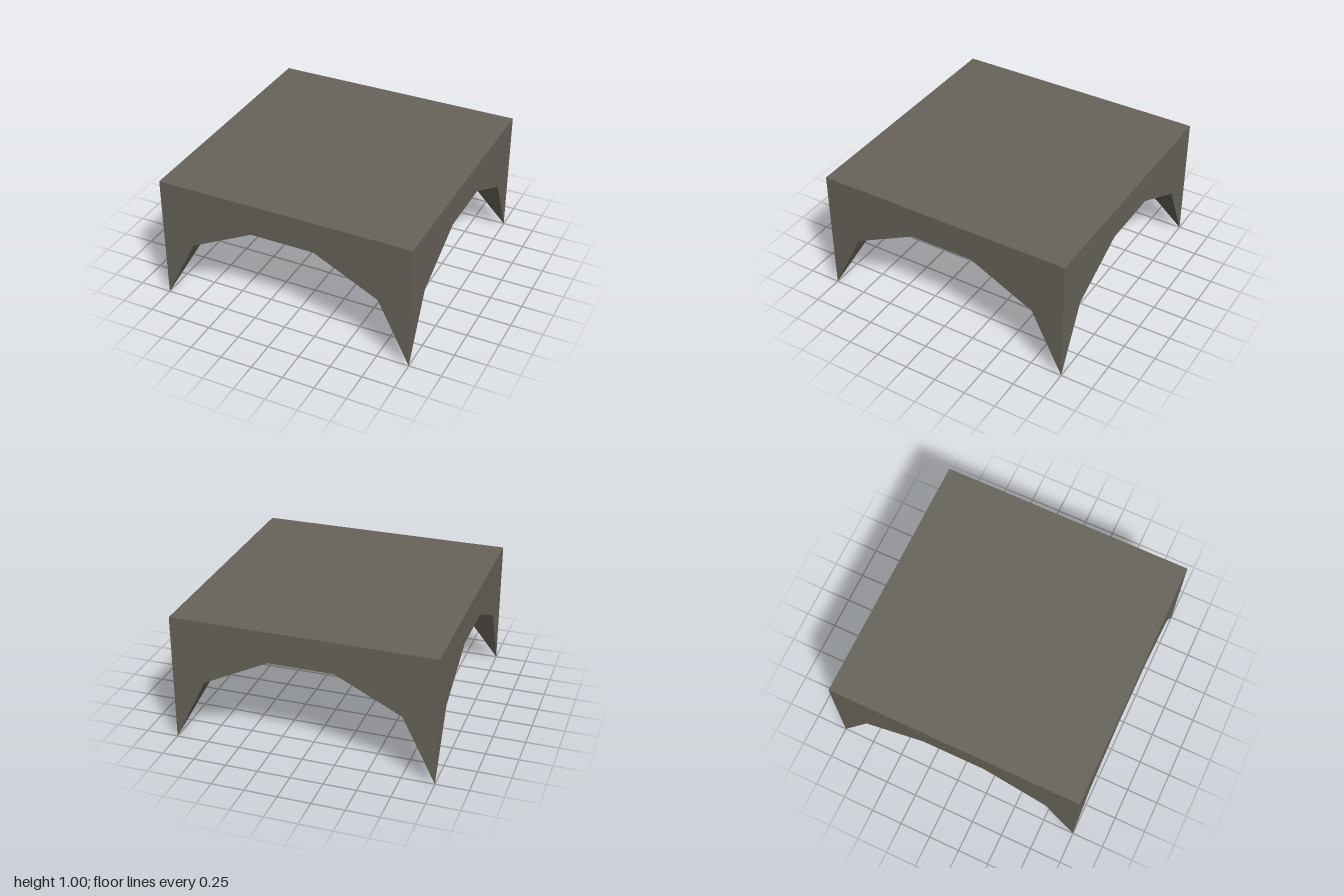
import * as THREE from 'three';

const ARCH = 0.755; // underside height
const KNEE = 0.505; // height where the legs break outward

export function createModel() {
  const group = new THREE.Group();
  const stone = new THREE.MeshStandardMaterial({ color: 0x68645a });
  stone.name = 'stone';

  const add = (name, geometry, angle = 0) => {
    const mesh = new THREE.Mesh(geometry, stone);
    mesh.name = name;
    mesh.rotation.y = angle;
    group.add(mesh);
  };
  const outline = (pts) => new THREE.ShapeGeometry(new THREE.Shape(pts.map(([x, y]) => new THREE.Vector2(x, y))));

  // Flat top
  add('topSlab', new THREE.PlaneGeometry(2, 2).rotateX(-Math.PI / 2).translate(0, 1, 0));

  // Flat underside, chamfered at each corner where the legs flare out
  const corner = [[0.25, 1], [0.25, 0.75], [0.75, 0.25], [1, 0.25]];
  const ceiling = [];
  for (let i = 0; i < 4; i++) {
    for (const [x, z] of corner) {
      ceiling.push([[x, z], [z, -x], [-x, -z], [-z, x]][i]);
    }
  }
  add('underside', outline(ceiling).rotateX(Math.PI / 2).translate(0, ARCH, 0));

  // Arched side wall
  const wall = outline([
    [-1, 0], [-0.75, KNEE], [-0.25, ARCH], [0.25, ARCH], [0.75, KNEE], [1, 0], [1, 1], [-1, 1],
  ]).translate(0, 0, 1);

  // Inner faces of one tapering leg
  const tip = [1, 0, 1];
  const kneeA = [0.75, KNEE, 1], kneeB = [1, KNEE, 0.75], kneeIn = [0.75, KNEE, 0.75];
  const archA = [0.25, ARCH, 1], archB = [1, ARCH, 0.25];
  const inA = [0.25, ARCH, 0.75], inB = [0.75, ARCH, 0.25];
  const faces = [
    [tip, kneeA, kneeIn],
    [tip, kneeIn, kneeB],
    [kneeIn, kneeA, archA, inA],
    [kneeIn, inA, inB],
    [kneeIn, inB, archB, kneeB],
  ];
  const positions = [];
  for (const f of faces) {
    for (let i = 1; i < f.length - 1; i++) positions.push(...f[0], ...f[i], ...f[i + 1]);
  }
  const leg = new THREE.BufferGeometry();
  leg.setAttribute('position', new THREE.Float32BufferAttribute(positions, 3));
  leg.computeVertexNormals();

  ['front', 'left', 'back', 'right'].forEach((side, i) => {
    add(side + 'Wall', wall, i * Math.PI / 2);
  });
  ['frontLeft', 'backLeft', 'backRight', 'frontRight'].forEach((place, i) => {
    add(place + 'Leg', leg, i * Math.PI / 2);
  });

  return group;
}
